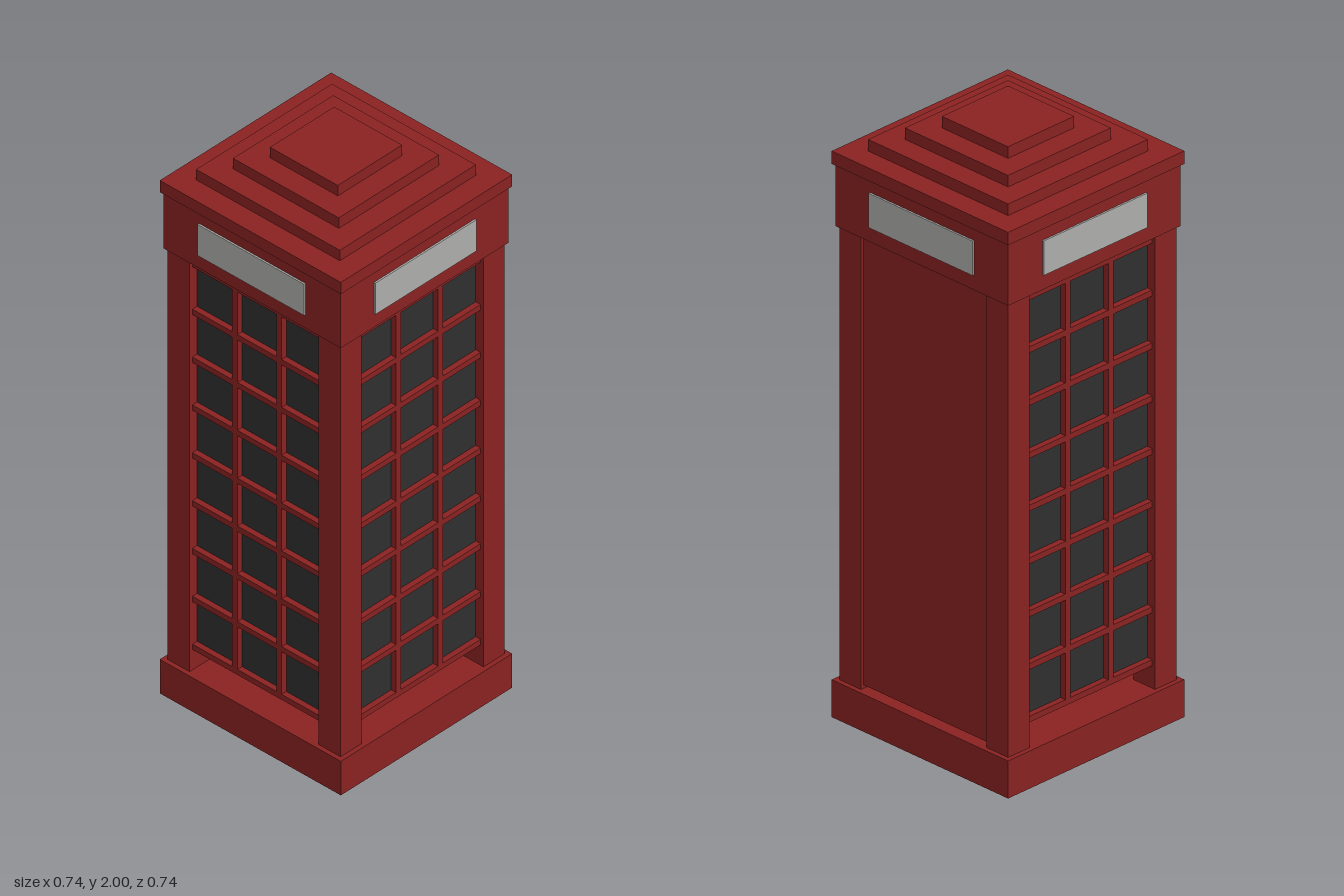
import * as THREE from 'three';

export function createModel() {
  const model = new THREE.Group();
  model.name = 'telephoneKiosk';

  const paint = (name, color) => {
    const m = new THREE.MeshStandardMaterial({ color });
    m.name = name;
    return m;
  };
  const red = paint('deepRed', 0x8a2222);
  const dark = paint('darkGlass', 0x2f2f2f);
  const pale = paint('paleGrey', 0xaeaeac);

  // Box spanning y0..y1, centred on x and z
  const box = (parent, name, mat, w, y0, y1, d, x = 0, z = 0) => {
    const mesh = new THREE.Mesh(new THREE.BoxGeometry(w, y1 - y0, d), mat);
    mesh.name = name;
    mesh.position.set(x, (y0 + y1) / 2, z);
    parent.add(mesh);
    return mesh;
  };

  // Plinth, header and cornice
  box(model, 'base', red, 0.736, 0, 0.125, 0.736);
  box(model, 'header', red, 0.72, 1.635, 1.842, 0.72);
  box(model, 'cornice', red, 0.736, 1.842, 1.885, 0.736);

  // Stepped roof
  [0.584, 0.43, 0.276].forEach((w, i) =>
    box(model, 'roofStep' + (i + 1), red, w, 1.885 + i * 0.0385, 1.885 + (i + 1) * 0.0385, w));

  // Corner posts
  for (const x of [-1, 1])
    for (const z of [-1, 1])
      box(model, 'cornerPost', red, 0.09, 0.125, 1.635, 0.09, x * 0.307, z * 0.307);

  // Glazed panel: dark pane with a raised grid of bars, three columns by eight rows
  const glazedPanel = (name, angle) => {
    const panel = new THREE.Group();
    panel.name = name;
    box(panel, 'glass', dark, 0.524, 0.202, 1.626, 0.012, 0, 0.314);
    for (const x of [-0.09, 0.09])
      box(panel, 'verticalBar', red, 0.022, 0.2, 1.627, 0.03, x, 0.325);
    for (let i = 0; i <= 8; i++) {
      const y = 0.21 + i * 0.1758;
      box(panel, 'horizontalBar', red, 0.524, y - 0.01, y + 0.01, 0.03, 0, 0.325);
    }
    panel.rotation.y = angle;
    model.add(panel);
  };
  glazedPanel('frontDoor', 0);
  glazedPanel('leftWindow', Math.PI / 2);
  glazedPanel('rightWindow', -Math.PI / 2);

  // Solid back wall
  box(model, 'backPanel', red, 0.524, 0.137, 1.635, 0.02, 0, -0.332);

  // Blank sign plate on each side of the header
  for (let i = 0; i < 4; i++) {
    const side = new THREE.Group();
    side.name = 'signSide';
    box(side, 'signPlate', pale, 0.434, 1.685, 1.8, 0.008, 0, 0.362);
    side.rotation.y = i * Math.PI / 2;
    model.add(side);
  }

  return model;
}
